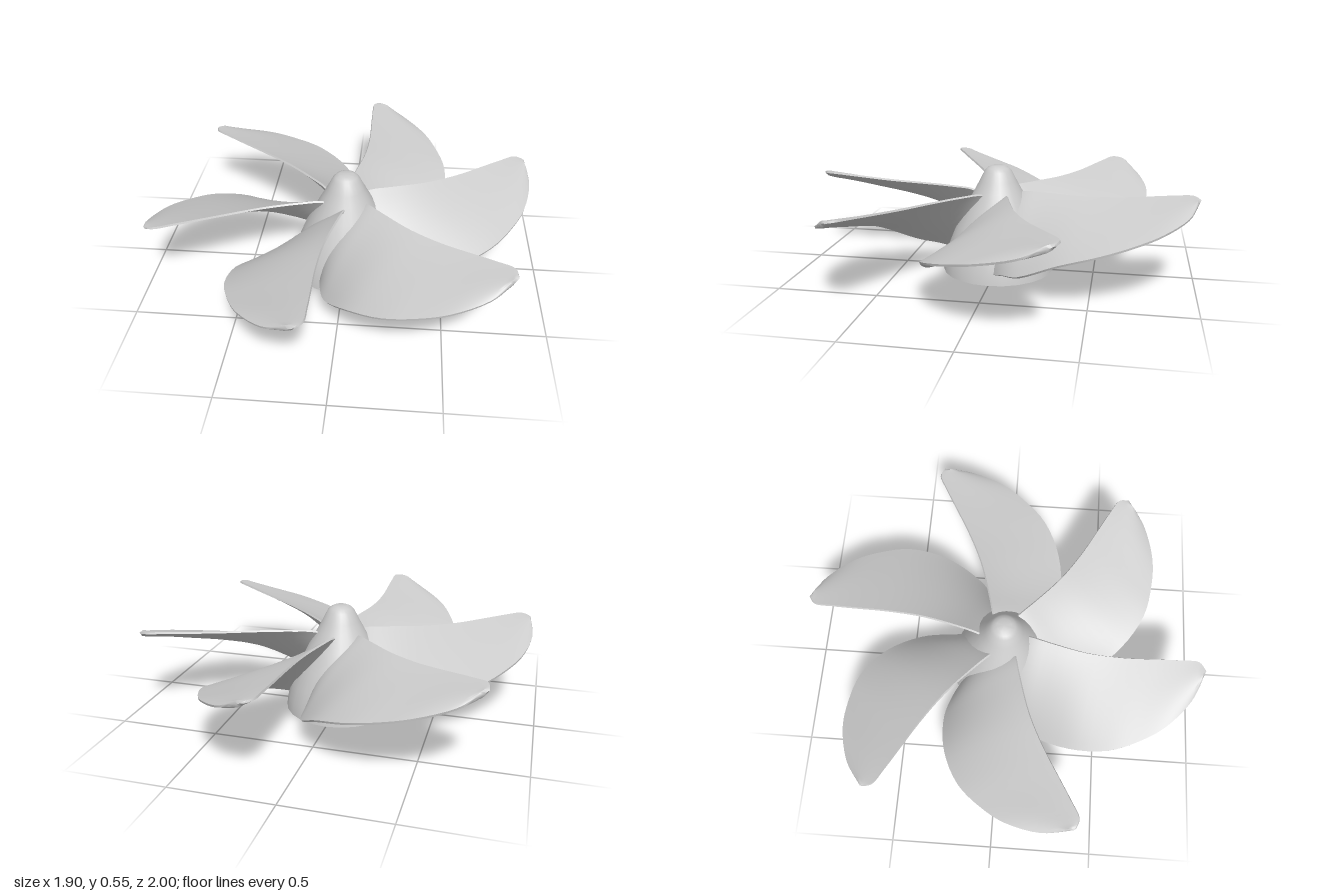
import * as THREE from 'three';
import { toCreasedNormals } from 'three/addons/utils/BufferGeometryUtils.js';

const BLADES = 6;
const curve = (pts) => new THREE.CatmullRomCurve3(pts.map(([x, s, y]) => new THREE.Vector3(x, y, -s)));

// Paired stations along the blade: [sideways, outward, height]
const upperEdge = curve([
  [-0.02, 0.06, 0.38], [0.0, 0.13, 0.415], [0.03, 0.24, 0.42], [0.07, 0.42, 0.42], [0.085, 0.6, 0.425],
  [0.085, 0.76, 0.437], [0.085, 0.88, 0.447], [0.09, 0.965, 0.452], [0.13, 1.0, 0.445],
]);
const lowerEdge = curve([
  [0.26, 0.02, 0.05], [0.34, 0.08, 0.08], [0.43, 0.17, 0.11], [0.51, 0.36, 0.205], [0.52, 0.55, 0.265],
  [0.47, 0.7, 0.305], [0.4, 0.82, 0.34], [0.27, 0.94, 0.385], [0.17, 0.985, 0.425],
]);

// Middle surface of the blade, slightly cupped between its edges
function midSurface(u, v) {
  const p = upperEdge.getPoint(u).lerp(lowerEdge.getPoint(u), v);
  p.y -= 0.018 * Math.sin(Math.PI * v) * Math.sin(Math.PI * Math.min(1, u + 0.15));
  return p;
}

// Closed thin sections lofted from the hub out to the tip
function bladeGeometry(rows = 32, cols = 12) {
  const ring = 2 * (cols + 1);
  const pos = [], index = [];
  const e = 0.002;
  for (let i = 0; i <= rows; i++) {
    const u = i / rows;
    for (let k = 0; k < ring; k++) {
      const top = k <= cols;
      const v = (top ? k : ring - 1 - k) / cols;
      const du = midSurface(Math.min(1, u + e), v).sub(midSurface(Math.max(0, u - e), v));
      const dv = midSurface(u, Math.min(1, v + e)).sub(midSurface(u, Math.max(0, v - e)));
      const n = dv.cross(du).normalize();
      const belly = 0.01 + 0.035 * Math.pow(1 - u, 2);
      const half = i === rows ? 0 : 0.005 + belly * Math.sin(Math.PI * v);
      const p = midSurface(u, v).addScaledVector(n, top ? half : -half);
      pos.push(p.x, p.y, p.z);
    }
  }
  for (let i = 0; i < rows; i++) {
    for (let k = 0; k < ring; k++) {
      const a = i * ring + k, c = i * ring + (k + 1) % ring;
      const b = a + ring, d = c + ring;
      index.push(a, c, b, c, d, b);
    }
  }
  const g = new THREE.BufferGeometry();
  g.setAttribute('position', new THREE.Float32BufferAttribute(pos, 3));
  g.setIndex(index);
  return toCreasedNormals(g, 0.9);
}

export function createModel() {
  const group = new THREE.Group();
  group.name = 'propeller';
  const material = new THREE.MeshStandardMaterial({ color: 0xcccccc });

  // Hub: short collar, tapering body and rounded nose
  const profile = [
    [0, 0], [0.287, 0], [0.278, 0.06], [0.255, 0.14], [0.215, 0.24], [0.165, 0.34], [0.122, 0.42],
    [0.095, 0.47], [0.07, 0.52], [0.055, 0.537], [0.035, 0.547], [0, 0.548],
  ].map(([r, y]) => new THREE.Vector2(r, y));
  const hub = new THREE.Mesh(toCreasedNormals(new THREE.LatheGeometry(profile, 24), 0.9), material);
  hub.name = 'hub';
  group.add(hub);

  // Six swept blades around the hub
  const geometry = bladeGeometry();
  for (let i = 0; i < BLADES; i++) {
    const blade = new THREE.Mesh(geometry, material);
    blade.name = `blade${i + 1}`;
    blade.rotation.y = (i * 2 * Math.PI) / BLADES;
    group.add(blade);
  }
  return group;
}
